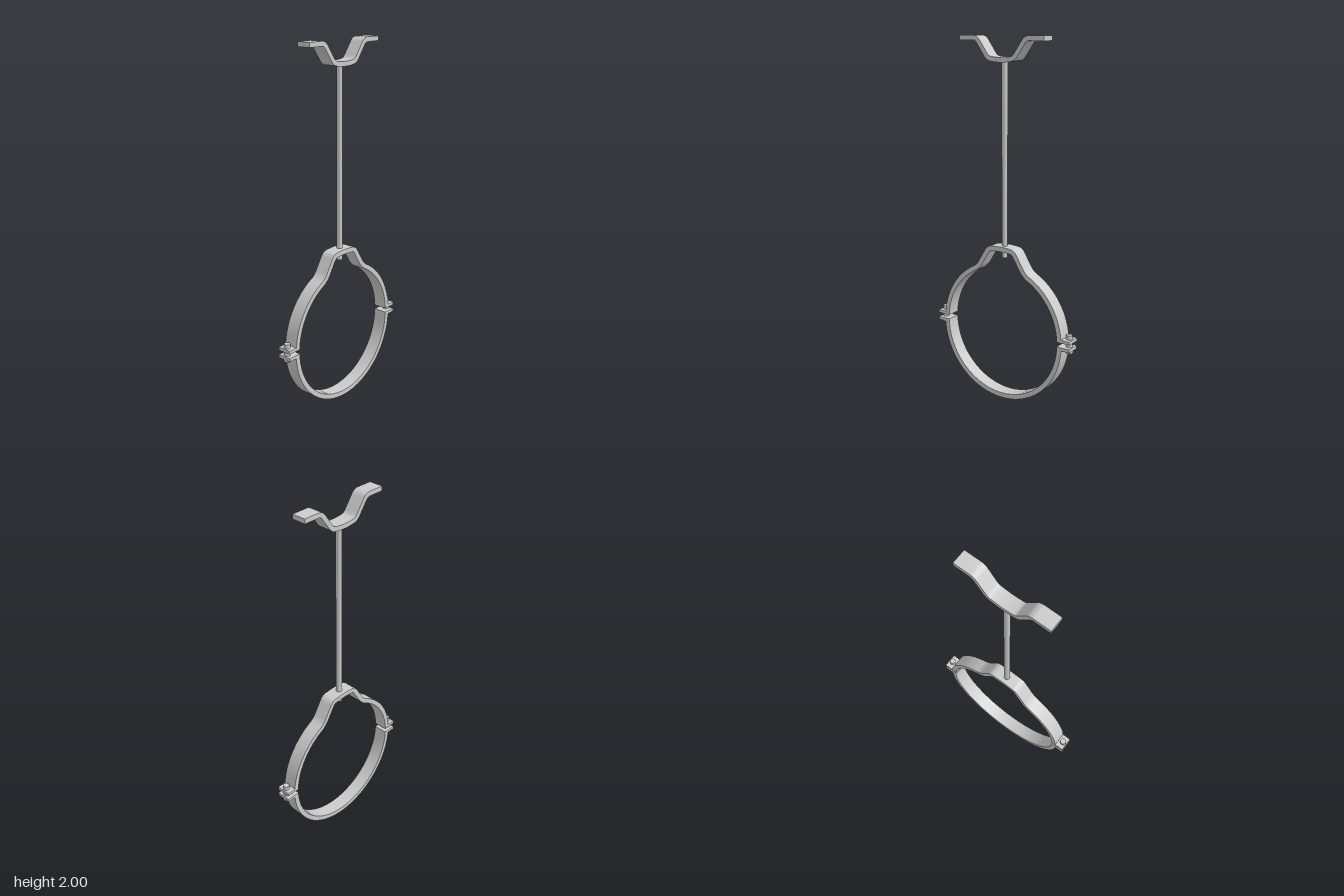
import * as THREE from 'three';
import { toCreasedNormals } from 'three/addons/utils/BufferGeometryUtils.js';

const WIDTH = 0.08; // depth of the strap along z
const RING_Y = 0.395, RING_R = 0.381; // centre line of the clamp ring
const material = new THREE.MeshStandardMaterial({ color: 0xcccccc });

function add(group, name, geometry, x = 0, y = 0, z = 0) {
  const mesh = new THREE.Mesh(geometry, material);
  mesh.name = name;
  mesh.position.set(x, y, z);
  group.add(mesh);
}

// Flat metal strap of even thickness following a centre line in the xy plane
function strap(line, thickness) {
  const pts = line.filter((p, i) => i === 0 || p.distanceTo(line[i - 1]) > 1e-4);
  const side = (sign) => pts.map((p, i) => {
    const a = p.clone().sub(pts[Math.max(i - 1, 0)]).normalize();
    const b = pts[Math.min(i + 1, pts.length - 1)].clone().sub(p).normalize();
    const t = a.add(b).normalize();
    return new THREE.Vector2(p.x - t.y * sign * thickness / 2, p.y + t.x * sign * thickness / 2);
  });
  const shape = new THREE.Shape([...side(1), ...side(-1).reverse()]);
  const geometry = new THREE.ExtrudeGeometry(shape, { depth: WIDTH, bevelEnabled: false });
  geometry.translate(0, 0, -WIDTH / 2);
  return toCreasedNormals(geometry, 0.5);
}

// Completes a right-hand centre line ending on x = 0 with its mirror image
const mirrored = (pts) => [
  ...pts,
  ...pts.slice(0, -1).reverse().map((p) => new THREE.Vector2(-p.x, p.y)),
];

export function createModel() {
  const model = new THREE.Group();
  model.name = 'pipeHanger';

  // Ceiling bracket: two flat ears and a dropped middle
  const bracket = new THREE.Path();
  bracket.moveTo(0.265, 1.987);
  bracket.lineTo(0.175, 1.987);
  bracket.quadraticCurveTo(0.155, 1.987, 0.142, 1.968);
  bracket.lineTo(0.096, 1.904);
  bracket.quadraticCurveTo(0.083, 1.885, 0.066, 1.882);
  bracket.quadraticCurveTo(0.03, 1.876, 0, 1.876);
  add(model, 'ceilingBracket', strap(mirrored(bracket.getPoints(6)), 0.025));

  // Hanging rod
  add(model, 'rod', new THREE.CylinderGeometry(0.016, 0.016, 1.057, 24), 0, 1.3435);

  // Upper clamp half: arc that bends outward into a raised hump for the rod
  const start = Math.asin((0.416 - RING_Y) / RING_R), end = 1.1;
  const upper = new THREE.Path();
  upper.absarc(0, RING_Y, RING_R, start, end, false);
  upper.quadraticCurveTo(0.148, 0.752, 0.135, 0.775);
  upper.lineTo(0.096, 0.838);
  upper.quadraticCurveTo(0.083, 0.861, 0.066, 0.863);
  upper.quadraticCurveTo(0.03, 0.867, 0, 0.867);
  add(model, 'upperClamp', strap(mirrored(upper.getPoints(10)), 0.027));

  // Lower clamp half: plain arc
  const low = Math.asin((RING_Y - 0.39) / RING_R);
  const lower = new THREE.Path();
  lower.absarc(0, RING_Y, RING_R, -low, -Math.PI + low, true);
  add(model, 'lowerClamp', strap(lower.getPoints(20), 0.028));

  // Flanges and bolts on both sides
  for (const s of [1, -1]) {
    const joint = new THREE.Group();
    joint.name = s > 0 ? 'leftJoint' : 'rightJoint';
    const flange = new THREE.BoxGeometry(0.063, 0.018, WIDTH);
    add(joint, 'upperFlange', flange, s * 0.4115, 0.424);
    add(joint, 'lowerFlange', flange, s * 0.4115, 0.381);
    add(joint, 'bolt', new THREE.CylinderGeometry(0.017, 0.017, 0.095, 20), s * 0.42, 0.4085);
    add(joint, 'boltHead', new THREE.CylinderGeometry(0.02, 0.02, 0.017, 20), s * 0.42, 0.3645);
    model.add(joint);
  }
  return model;
}
